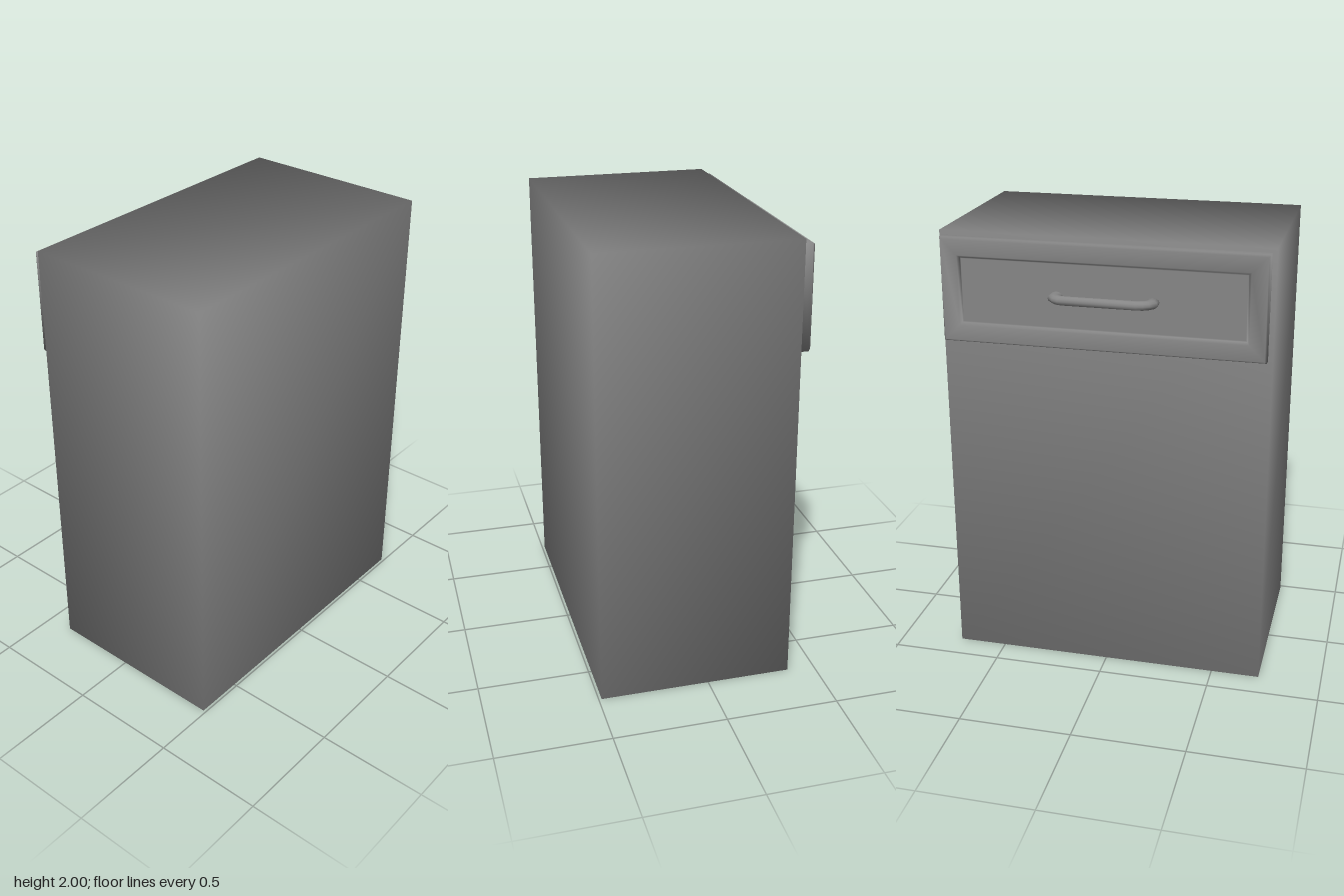
import * as THREE from 'three';
import { mergeVertices } from 'three/addons/utils/BufferGeometryUtils.js';

const material = new THREE.MeshStandardMaterial({ color: 0x868686 });

// Skin a list of equal-length point rings; the start stays open, the end is closed.
function loft(rings) {
  const n = rings[0].length, idx = [];
  for (let i = 0; i < rings.length - 1; i++)
    for (let j = 0; j < n; j++) {
      const a = i * n + j, b = i * n + (j + 1) % n;
      idx.push(a, b, b + n, a, b + n, a + n);
    }
  const last = (rings.length - 1) * n;
  for (let j = 1; j < n - 1; j++) idx.push(last, last + j, last + j + 1);
  const g = new THREE.BufferGeometry();
  g.setAttribute('position', new THREE.Float32BufferAttribute(rings.flat(2), 3));
  g.setIndex(idx);
  g.computeVertexNormals();
  return g;
}

function addMesh(group, name, geometry) {
  const mesh = new THREE.Mesh(geometry, material);
  mesh.name = name;
  group.add(mesh);
}

// Box whose eight corners share smooth normals, weighted by the area of each face
function smoothBox(w, h, d) {
  const box = new THREE.BoxGeometry(w, h, d);
  box.deleteAttribute('normal');
  box.deleteAttribute('uv');
  const g = mergeVertices(box);
  const pos = g.attributes.position, normals = [], n = new THREE.Vector3();
  for (let i = 0; i < pos.count; i++) {
    n.set(Math.sign(pos.getX(i)) / w, Math.sign(pos.getY(i)) / h, Math.sign(pos.getZ(i)) / d).normalize();
    normals.push(n.x, n.y, n.z);
  }
  g.setAttribute('normal', new THREE.Float32BufferAttribute(normals, 3));
  return g;
}

export function createModel() {
  const group = new THREE.Group();
  group.name = 'drawerCabinet';

  // Cabinet body
  addMesh(group, 'cabinetBody', smoothBox(0.863, 2, 1.436).translate(0.0555, 1, 0));

  // Drawer front: chamfered slab with a recessed panel, as [inset, x] steps
  const steps = [[0, -0.375], [0, -0.412], [0.008, -0.422], [0.075, -0.422], [0.085, -0.407], [0.09, -0.407]];
  const drawer = loft(steps.map(([inset, x]) => {
    const y0 = 1.525 + inset, y1 = 1.98 - inset, z0 = -0.705 + inset, z1 = 0.697 - inset;
    return [[x, y0, z0], [x, y0, z1], [x, y1, z1], [x, y1, z0]];
  }));
  addMesh(group, 'drawerFront', drawer);

  // Handle: bent bar with thicker feet, as [x, z, half width]; mirrored in z
  const half = [[-0.4, -0.207, 0.028], [-0.44, -0.207, 0.028], [-0.458, -0.192, 0.025],
    [-0.467, -0.175, 0.022], [-0.471, -0.15, 0.019]];
  const path = [...half, ...half.map(([x, z, w]) => [x, -z, w]).reverse()];
  const sides = 12;
  const rings = path.map(([x, z, w], i) => {
    const p = path[Math.max(i - 1, 0)], q = path[Math.min(i + 1, path.length - 1)];
    const len = Math.hypot(q[0] - p[0], q[1] - p[1]);
    const nx = (q[1] - p[1]) / len, nz = -(q[0] - p[0]) / len;
    return Array.from({ length: sides }, (_, j) => {
      const a = j / sides * Math.PI * 2, c = Math.cos(a) * w;
      return [x + nx * c, 1.752 + Math.sin(a) * 0.02, z + nz * c + 0.009];
    });
  });
  addMesh(group, 'drawerHandle', loft(rings));

  return group;
}
